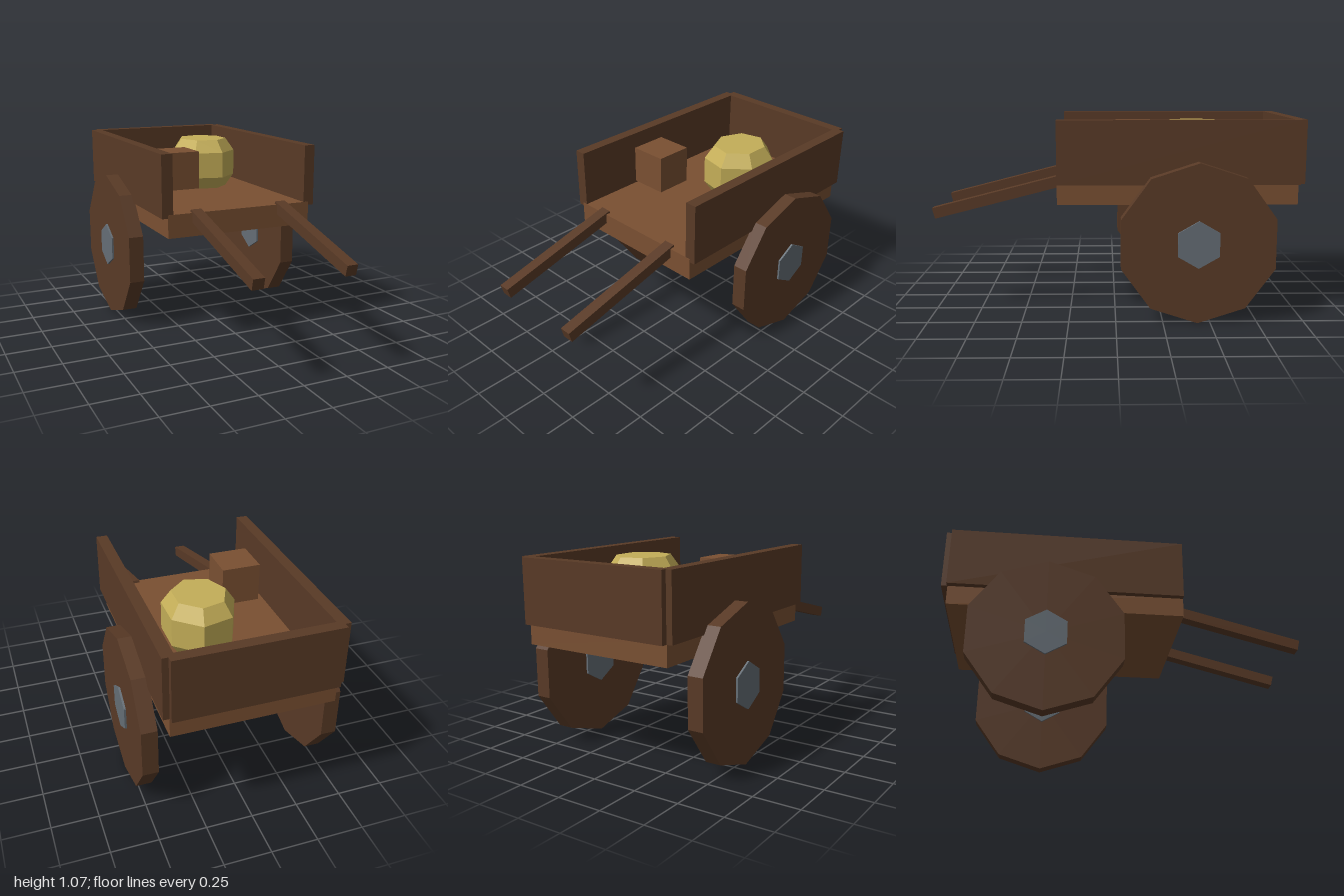
import * as THREE from 'three';

const mat = (name, color) => {
  const m = new THREE.MeshStandardMaterial({ color, flatShading: true });
  m.name = name;
  return m;
};

export function createModel() {
  const cart = new THREE.Group();
  cart.name = 'handcart';

  const wood = mat('wood', 0x7a5032);
  const darkWood = mat('dark wood', 0x593a26);
  const iron = mat('iron', 0x656e76);
  const straw = mat('straw', 0xc4ae58);

  const add = (name, geometry, material, x, y, z) => {
    const mesh = new THREE.Mesh(geometry, material);
    mesh.name = name;
    mesh.position.set(x, y, z);
    cart.add(mesh);
    return mesh;
  };
  const box = (name, material, size, pos) =>
    add(name, new THREE.BoxGeometry(...size), material, ...pos);
  // Polygonal disc with its axle along x and a corner pointing up
  const disc = (name, material, radius, width, sides, x) => {
    const g = new THREE.CylinderGeometry(radius, radius, width, sides, 1, false, Math.PI / 2);
    g.rotateZ(Math.PI / 2);
    return add(name, g, material, x, 0.427, -0.432);
  };

  // Bed and tailboard
  box('bed', wood, [0.85, 0.127, 1.275], [0, 0.684, -0.328]);
  box('backBoard', darkWood, [0.85, 0.338, 0.06], [0, 0.898, -0.97]);

  // Mirrored side boards, wheels, hubs and pull handles
  for (const [side, s] of [['left', 1], ['right', -1]]) {
    box(side + 'SideBoard', darkWood, [0.062, 0.338, 1.277], [s * 0.426, 0.898, -0.33]);
    disc(side + 'Wheel', darkWood, 0.426, 0.084, 10, s * 0.489);
    disc(side + 'Hub', iron, 0.126, 0.106, 6, s * 0.489);
    const handle = box(side + 'Handle', darkWood, [0.062, 0.06, 0.738], [s * 0.255, 0.641, 0.635]);
    handle.rotation.x = 0.25;
  }

  // Cargo: a crate and a seven-sided sack
  box('crate', wood, [0.212, 0.212, 0.212], [-0.214, 0.917, -0.117]);
  const profile = [[0, 0.747], [0.142, 0.747], [0.192, 0.82], [0.192, 0.972], [0.142, 1.045], [0, 1.045]]
    .map(([r, y]) => new THREE.Vector2(r, y));
  const sack = add('sack', new THREE.LatheGeometry(profile, 7, -Math.PI / 2), straw, 0.104, 0, -0.442);
  sack.scale.z = 1.1;

  return cart;
}
